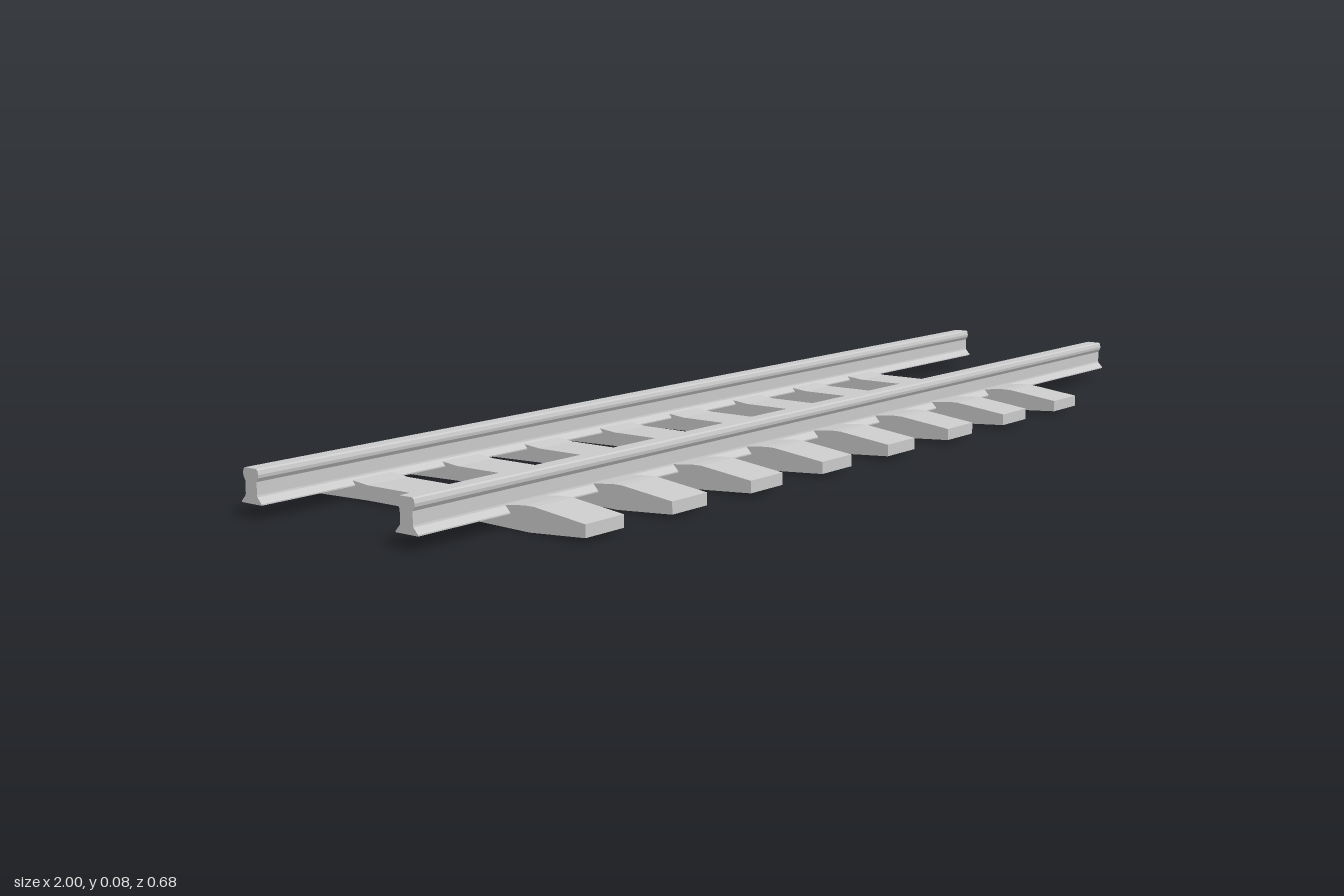
import * as THREE from 'three';

const material = new THREE.MeshStandardMaterial({ color: 0xcccccc, flatShading: true });

// Extrude a (z, y) outline along x, centred on x = 0
function extrudeAlongX(points, length) {
  const shape = new THREE.Shape(points.map(([z, y]) => new THREE.Vector2(-z, y)));
  const geometry = new THREE.ExtrudeGeometry(shape, { depth: length, bevelEnabled: false });
  geometry.translate(0, 0, -length / 2);
  geometry.rotateY(Math.PI / 2);
  return geometry;
}

// Complete a half outline (bottom to top) with its mirror image
function mirrored(half) {
  return [...half, ...half.map(([z, y]) => [-z, y]).reverse()];
}

export function createModel() {
  const track = new THREE.Group();
  track.name = 'railwayTrack';

  // Sleepers: thin middle, raised rail seats, sloping ends
  const sleeperGeometry = extrudeAlongX(mirrored([
    [0.11, 0.003], [0.23, 0], [0.338, 0.007], [0.338, 0.027],
    [0.24, 0.039], [0.222, 0.039], [0.109, 0.027],
  ]), 0.083);
  for (let i = 0; i < 8; i++) {
    const sleeper = new THREE.Mesh(sleeperGeometry, material);
    sleeper.name = `sleeper${i + 1}`;
    sleeper.position.x = -0.776 + i * 0.1923;
    track.add(sleeper);
  }

  // Rails: flared foot, thick web, rounded head
  const railGeometry = extrudeAlongX(mirrored([
    [0.0225, 0.0225], [0.0225, 0.0245], [0.0135, 0.034], [0.0128, 0.037],
    [0.0128, 0.057], [0.0165, 0.063], [0.0172, 0.068], [0.0155, 0.0745], [0.0125, 0.0765],
  ]), 2);
  for (const [name, z] of [['frontRail', 0.17], ['backRail', -0.16]]) {
    const rail = new THREE.Mesh(railGeometry, material);
    rail.name = name;
    rail.position.z = z;
    track.add(rail);
  }

  return track;
}
